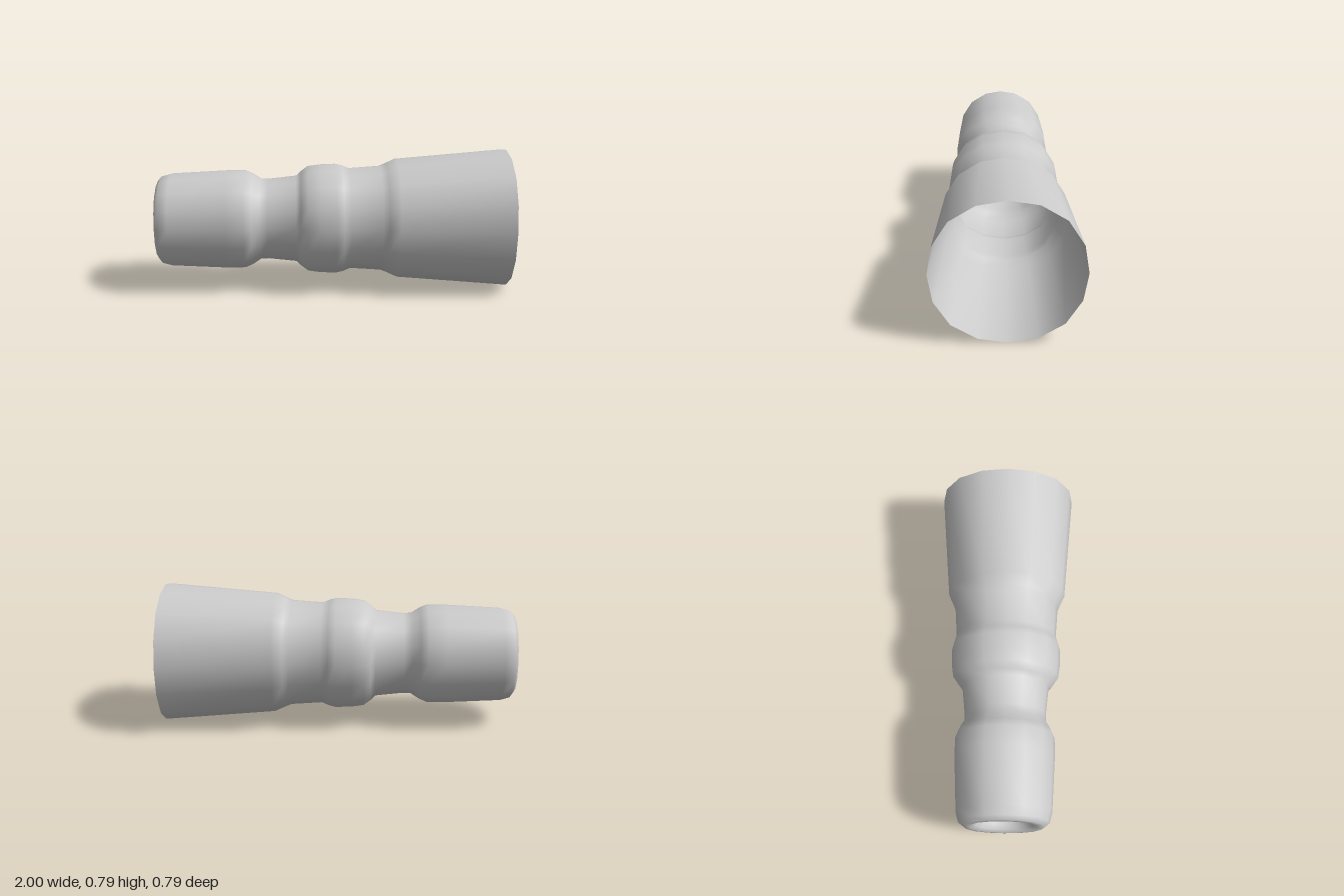
import * as THREE from 'three';
import { mergeVertices } from 'three/addons/utils/BufferGeometryUtils.js';

export function createModel() {
  const group = new THREE.Group();
  group.name = 'flaredSleeve';
  const material = new THREE.MeshStandardMaterial({ color: 0xcccccc, side: THREE.DoubleSide });
  const axisHeight = 0.394;

  // Revolve [radius, x] pairs about the x axis, slightly squared between the four quadrants
  function revolve(name, profile) {
    let geo = new THREE.LatheGeometry(profile.map(([r, x]) => new THREE.Vector2(r, x)), 16);
    const p = geo.attributes.position;
    for (let i = 0; i < p.count; i++) {
      const s = Math.sin(2 * Math.atan2(p.getZ(i), p.getX(i)));
      const k = 1 + 0.027 * s * s;
      p.setXYZ(i, p.getX(i) * k, p.getY(i), p.getZ(i) * k);
    }
    geo.rotateZ(-Math.PI / 2);
    geo.deleteAttribute('uv');
    geo.deleteAttribute('normal');
    geo = mergeVertices(geo, 1e-4);
    geo.computeVertexNormals();
    const mesh = new THREE.Mesh(geo, material);
    mesh.name = name;
    mesh.position.y = axisHeight;
    group.add(mesh);
  }

  // Domed end of the blind bore
  revolve('boreEnd', [[0, -0.71], [0.035, -0.715], [0.068, -0.735], [0.093, -0.77]]);

  // Bore wall, rolled rim, grip, waist, collar and open flare
  revolve('sleeve', [
    [0.093, -0.77], [0.13, -0.91], [0.15, -0.96], [0.165, -0.985], [0.19, -1],
    [0.222, -0.997], [0.25, -0.976], [0.265, -0.92], [0.281, -0.6], [0.28, -0.5],
    [0.262, -0.457], [0.232, -0.41], [0.23, -0.366], [0.247, -0.206], [0.273, -0.18],
    [0.302, -0.14], [0.312, -0.07], [0.315, 0.02], [0.306, 0.06], [0.289, 0.1],
    [0.301, 0.275], [0.315, 0.31], [0.342, 0.37], [0.394, 1],
  ]);
  return group;
}
